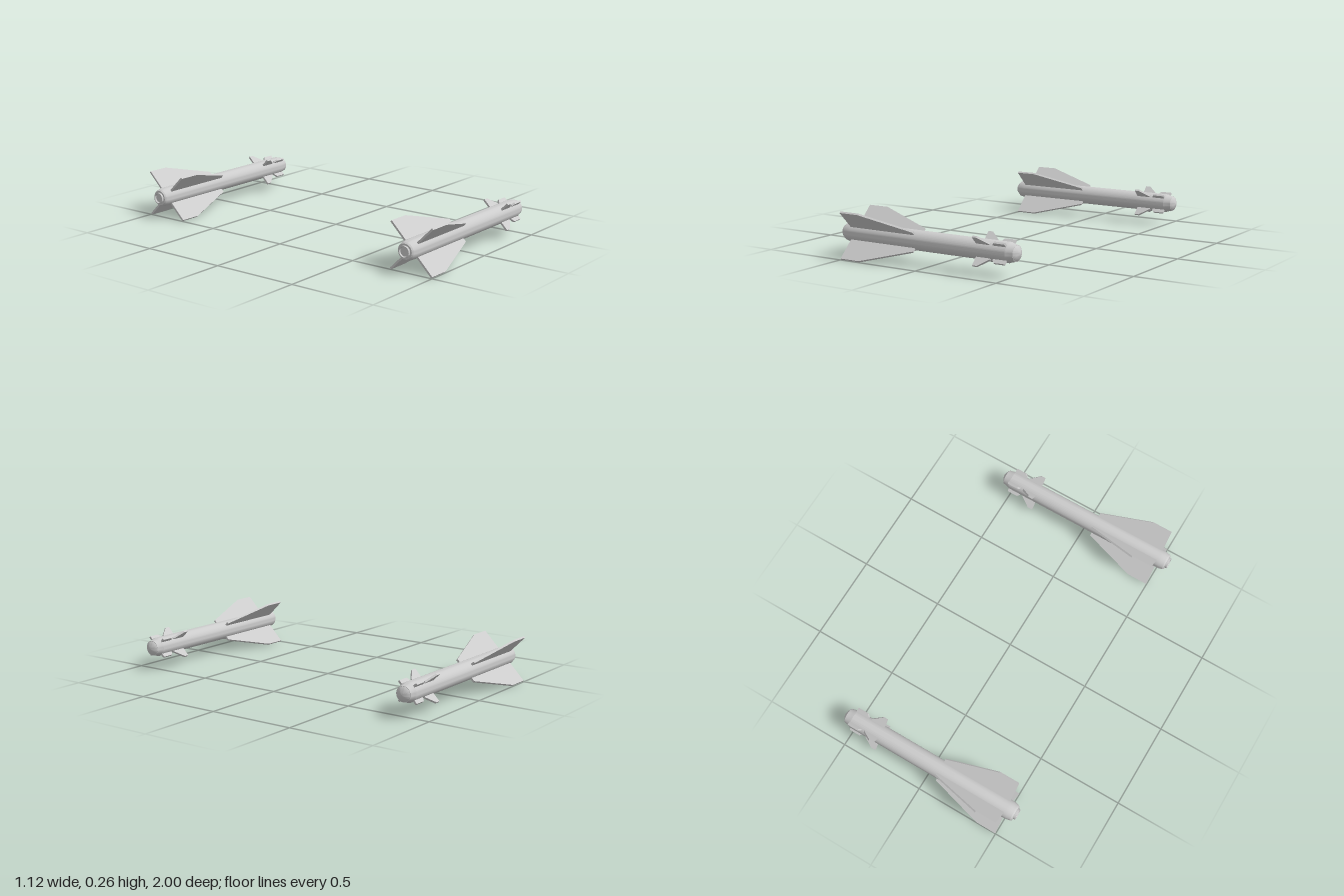
import * as THREE from 'three';
import { toCreasedNormals } from 'three/addons/utils/BufferGeometryUtils.js';

const AXIS_HEIGHT = 0.131;
const SPACING = 0.869;
const FIN_THICKNESS = 0.011;

const material = new THREE.MeshStandardMaterial({ color: 0xcccccc });

// Lathe along the x axis from [x, radius] pairs, listed tail to nose
function turned(name, profile) {
  const points = profile.map(([x, r]) => new THREE.Vector2(r, x));
  const geometry = new THREE.LatheGeometry(points, 40);
  geometry.rotateZ(-Math.PI / 2);
  const mesh = new THREE.Mesh(toCreasedNormals(geometry, 0.4), material);
  mesh.name = name;
  return mesh;
}

// Four flat fins in an X arrangement from an [x, radius] outline
function finSet(name, outline) {
  const shape = new THREE.Shape(outline.map(([x, r]) => new THREE.Vector2(x, r)));
  const geometry = new THREE.ExtrudeGeometry(shape, { depth: FIN_THICKNESS, bevelEnabled: false });
  geometry.translate(0, 0, -FIN_THICKNESS / 2);
  const group = new THREE.Group();
  group.name = name;
  for (let i = 0; i < 4; i++) {
    const fin = new THREE.Mesh(geometry, material);
    fin.name = name + 'Blade';
    fin.rotation.x = Math.PI / 4 + (i * Math.PI) / 2;
    group.add(fin);
  }
  return group;
}

function createMissile(name) {
  const missile = new THREE.Group();
  missile.name = name;

  // Body tube with rounded tail shoulder and tapered nose collar
  missile.add(turned('body', [
    [-0.553, 0], [-0.553, 0.042], [-0.545, 0.048], [-0.522, 0.053], [-0.5, 0.054],
    [0.5, 0.054], [0.512, 0.049], [0.54, 0.043], [0.54, 0],
  ]));

  // Shallow recessed exhaust ring
  missile.add(turned('nozzle', [
    [-0.556, 0], [-0.556, 0.025], [-0.565, 0.027], [-0.565, 0.032], [-0.55, 0.032],
  ]));

  // Seeker dome
  missile.add(turned('noseDome', [
    [0.538, 0.043], [0.545, 0.037], [0.552, 0.025], [0.557, 0.012], [0.56, 0],
  ]));

  // Large tail wings, small canards and short nose strakes
  missile.add(finSet('tailFin', [
    [-0.497, 0.04], [-0.07, 0.04], [-0.07, 0.076], [-0.375, 0.18], [-0.497, 0.18],
  ]));
  missile.add(finSet('canard', [
    [0.32, 0.04], [0.405, 0.04], [0.405, 0.06], [0.348, 0.107], [0.32, 0.107],
  ]));
  missile.add(finSet('noseStrake', [
    [0.423, 0.04], [0.502, 0.04], [0.502, 0.076], [0.437, 0.076], [0.423, 0.06],
  ]));
  return missile;
}

export function createModel() {
  const model = new THREE.Group();
  model.name = 'missilePair';
  for (const [name, side] of [['frontMissile', 1], ['rearMissile', -1]]) {
    const missile = createMissile(name);
    missile.position.set(0, AXIS_HEIGHT, side * SPACING);
    model.add(missile);
  }
  return model;
}
